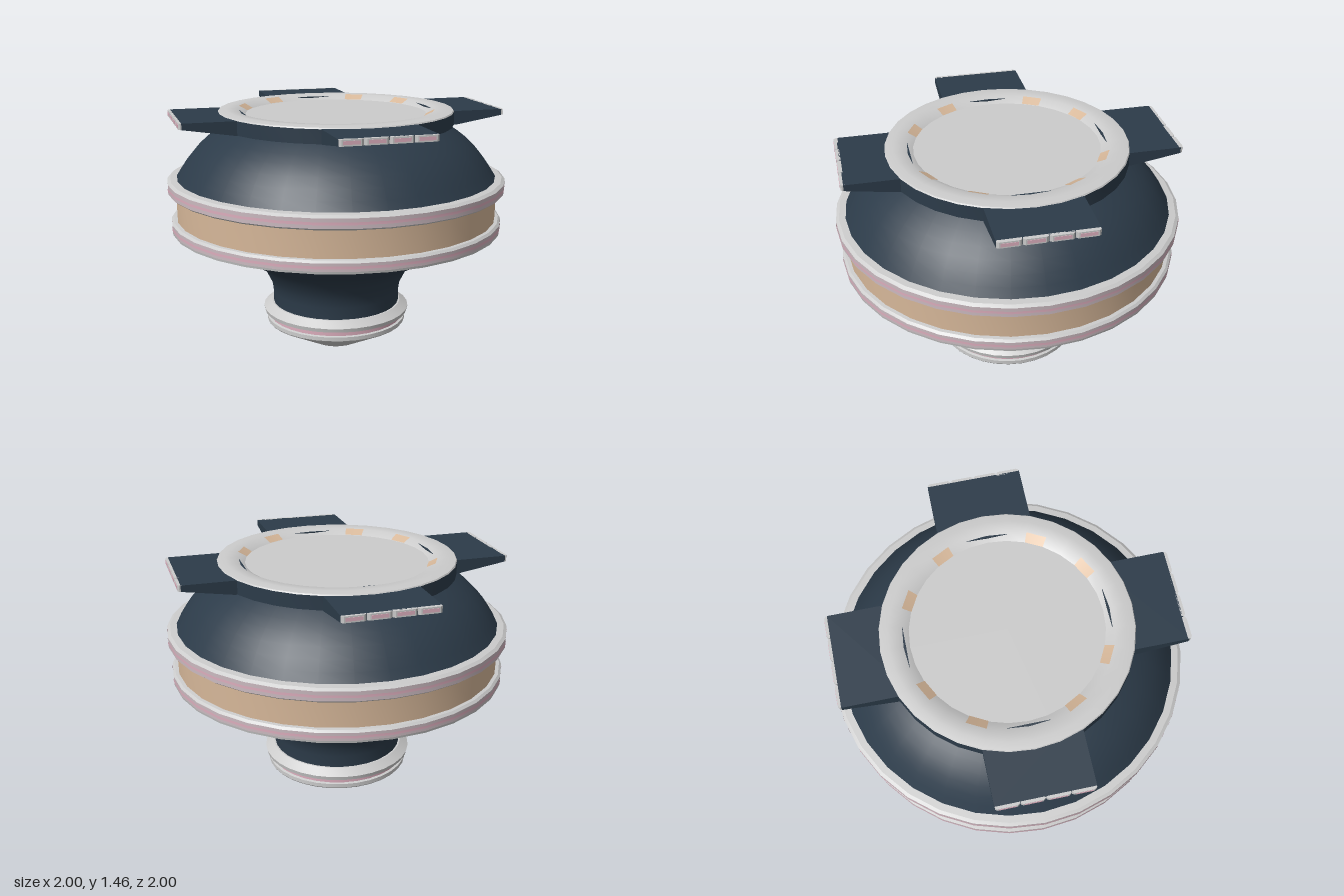
import * as THREE from 'three';
import { toCreasedNormals } from 'three/addons/utils/BufferGeometryUtils.js';

const SIDES = 32;
const material = (color) => new THREE.MeshStandardMaterial({ color });

export function createModel() {
  const model = new THREE.Group();
  const grey = material(0xcccccc);
  const navy = material(0x2c3b49);
  const sand = material(0xd6b799);
  const pink = material(0xdcaebd);
  const paleRose = material(0xcbbac0);

  function add(parent, name, geometry, mat) {
    const mesh = new THREE.Mesh(geometry, mat);
    mesh.name = name;
    parent.add(mesh);
    return mesh;
  }

  // Turned part; profile of [radius, height] runs from bottom to top
  function turned(name, profile, mat) {
    const points = profile.map(([r, y]) => new THREE.Vector2(r, y));
    return add(model, name, toCreasedNormals(new THREE.LatheGeometry(points, SIDES), 0.45), mat);
  }

  // Foot: cone with a small recessed opening underneath
  turned('footOpening', [[0, 0.035], [0.12, 0.035]], pink).material.side = THREE.DoubleSide;
  turned('footCone', [[0.12, 0.035], [0.125, 0.01], [0.145, 0], [0.155, 0.005],
    [0.42, 0.145], [0.425, 0.152], [0.425, 0.175], [0.405, 0.18]], grey);
  turned('footStripe', [[0.41, 0.175], [0.41, 0.215]], pink);
  turned('footCollar', [[0.4, 0.21], [0.44, 0.212], [0.445, 0.235], [0.395, 0.27], [0.37, 0.27]], grey);

  // Flaring neck under the body
  turned('neck', [[0.385, 0.26], [0.385, 0.34], [0.392, 0.39], [0.41, 0.43], [0.435, 0.48],
    [0.475, 0.525], [0.56, 0.573], [0.815, 0.707]], navy);

  // Lower ring
  turned('lowerRingUnderside', [[0.79, 0.703], [0.82, 0.705], [0.98, 0.752], [0.983, 0.765]], grey);
  turned('lowerRingBand', [[0.983, 0.765], [0.983, 0.81]], paleRose);
  turned('lowerRingStripe', [[0.985, 0.78], [0.985, 0.795]], pink);
  turned('lowerRingTop', [[0.983, 0.81], [0.97, 0.822], [0.94, 0.825]], grey);

  // Glowing window band
  turned('windowBand', [[0.95, 0.815], [0.95, 0.99]], sand);

  // Upper ring
  turned('upperRingUnderside', [[0.94, 0.985], [0.985, 0.985], [0.998, 0.995]], grey);
  turned('upperRingBand', [[0.998, 0.995], [0.998, 1.05]], paleRose);
  turned('upperRingStripe', [[1.0, 1.015], [1.0, 1.03]], pink);
  turned('upperRingTop', [[0.998, 1.05], [0.98, 1.062], [0.91, 1.068]], grey);

  // Dome
  turned('dome', [[0.945, 1.06], [0.91, 1.115], [0.875, 1.166], [0.83, 1.22], [0.78, 1.268],
    [0.725, 1.31], [0.665, 1.35], [0.63, 1.37]], navy);

  // Deck with a shallow dished plate
  turned('deckSide', [[0.6, 1.363], [0.69, 1.363], [0.69, 1.442]], navy);
  turned('deckPlate', [[0.69, 1.442], [0.685, 1.449], [0.64, 1.455], [0.58, 1.452],
    [0.53, 1.425], [0, 1.425]], grey);

  // Deck lamps, two per quadrant, set on the inner slope
  const step = (Math.PI * 2) / SIDES;
  const slope = [new THREE.Vector2(0.579, 1.453), new THREE.Vector2(0.529, 1.427)].map(
    (p) => p.clone().add(new THREE.Vector2(-0.001, 0.001)));
  for (let quadrant = 0; quadrant < 4; quadrant++) {
    for (const slot of [2, 5]) {
      add(model, 'deckLamp',
        new THREE.LatheGeometry(slope, 1, (quadrant * 8 + slot) * step, step), sand);
    }
  }

  // Four tapered landing arms with lamps along the outer edge
  const side = new THREE.Shape([[0.55, 1.363], [0.65, 1.363], [0.937, 1.408], [0.937, 1.443],
    [0.55, 1.443]].map(([x, y]) => new THREE.Vector2(x, y)));
  const armGeometry = new THREE.ExtrudeGeometry(side, { depth: 0.53, bevelEnabled: false });
  armGeometry.translate(0, 0, -0.265);

  // Lamp housing narrows towards its outer face
  const housing = new THREE.Shape([[0.93, -0.064], [0.945, -0.064], [0.953, -0.052],
    [0.953, 0.052], [0.945, 0.064], [0.93, 0.064]].map(([x, y]) => new THREE.Vector2(x, y)));
  const housingGeometry = new THREE.ExtrudeGeometry(housing, { depth: 0.035, bevelEnabled: false });
  housingGeometry.rotateX(-Math.PI / 2);
  const lampGeometry = new THREE.BoxGeometry(0.01, 0.019, 0.09);

  for (let i = 0; i < 4; i++) {
    const arm = new THREE.Group();
    arm.name = 'arm';
    add(arm, 'armPlate', armGeometry, navy);
    for (let k = 0; k < 4; k++) {
      const z = (k - 1.5) * 0.1325;
      add(arm, 'lampHousing', housingGeometry, grey).position.set(0, 1.408, z);
      add(arm, 'armLamp', lampGeometry, pink).position.set(0.95, 1.4255, z);
    }
    arm.rotation.y = (i * Math.PI) / 2;
    model.add(arm);
  }

  return model;
}
